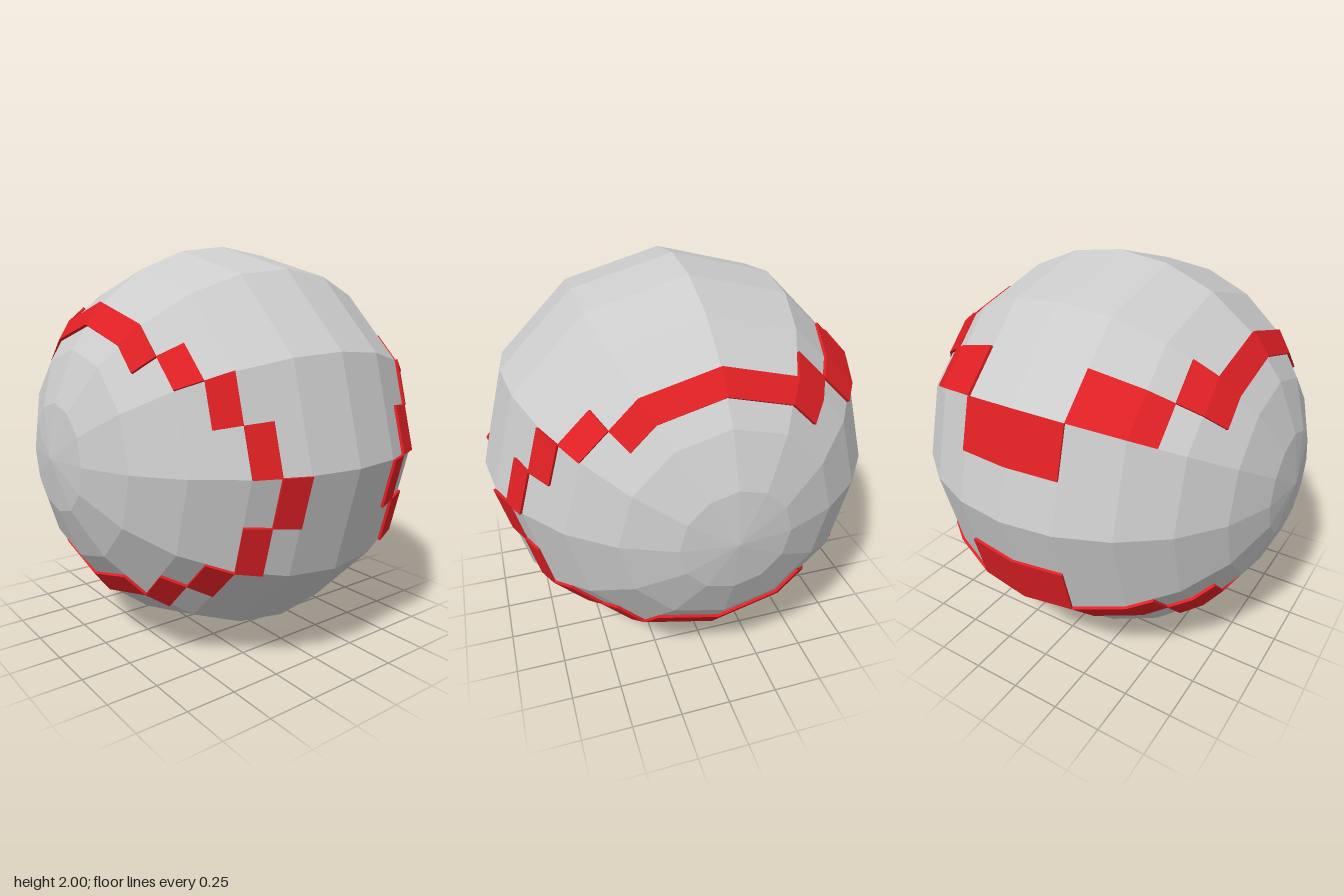
import * as THREE from 'three';

const SEG = 12;        // facets around the x axis, and rings from pole to pole
const LIFT = 1.014;    // how far the seam stands proud of the ball

// Point on the faceted ball: i in half rings from the +x pole, j in half facets up from the front.
function facetPoint(i, j, scale) {
  const corner = (a, b) => {
    const theta = (a * Math.PI) / SEG, phi = (b * 2 * Math.PI) / SEG, r = Math.sin(theta);
    return new THREE.Vector3(Math.cos(theta), r * Math.sin(phi), r * Math.cos(phi));
  };
  const a = Math.floor(i / 2), b = Math.floor(j / 2);
  const u = i / 2 - a, v = j / 2 - b;
  const low = corner(a, b).lerp(corner(a + 1, b), u);
  const high = corner(a, b + 1).lerp(corner(a + 1, b + 1), u);
  return low.lerp(high, v).multiplyScalar(scale);
}

// Seam runs on the left half as [i start, i end, j start, j end]
const RUNS = [
  [9, 10, -1, 0],                                            // front, nearest the middle
  [8, 9, 0, 1], [7, 8, 1, 2], [6, 7, 2, 3],                  // front, stepping up
  [8, 9, -2, -1], [7, 8, -3, -2], [6, 7, -4, -3],            // front, stepping down
  [5, 6, 3, 9], [5, 6, -9, -4],                              // over the top, under the bottom
  [6, 7, 8, 9], [6, 7, -9, -8],
  [7, 10, 9, 10], [7, 10, -10, -9],                          // stepping inward at the back
  [10, 12, 10, 11], [10, 12, -11, -10],                      // across the back
];

function seamGeometry() {
  const cells = new Map();
  const key = (i, j) => `${i},${j}`;
  for (const [i0, i1, j0, j1] of RUNS)
    for (let i = i0; i < i1; i++)
      for (let j = j0; j < j1; j++)
        for (const m of [i, 2 * SEG - 1 - i]) cells.set(key(m, j), [m, j]);

  const pos = [];
  const quad = (a, b, c, d) => [a, b, c, a, c, d].forEach(p => pos.push(p.x, p.y, p.z));
  for (const [i, j] of cells.values()) {
    const ring = [[i + 1, j], [i, j], [i, j + 1], [i + 1, j + 1]];
    const outer = ring.map(([a, b]) => facetPoint(a, b, LIFT));
    const inner = ring.map(([a, b]) => facetPoint(a, b, 0.995));
    quad(...outer);
    // side walls only where the seam ends
    const neighbours = [[i, j - 1], [i - 1, j], [i, j + 1], [i + 1, j]];
    neighbours.forEach(([a, b], k) => {
      const n = (k + 1) % 4;
      if (!cells.has(key(a, b))) quad(inner[k], inner[n], outer[n], outer[k]);
    });
  }
  const geo = new THREE.BufferGeometry();
  geo.setAttribute('position', new THREE.Float32BufferAttribute(pos, 3));
  geo.computeVertexNormals();
  return geo;
}

export function createModel() {
  const model = new THREE.Group();
  model.name = 'ball';

  // Low-poly ball with its poles on the x axis
  const body = new THREE.Mesh(
    new THREE.SphereGeometry(1, SEG, SEG).rotateZ(-Math.PI / 2),
    new THREE.MeshStandardMaterial({ color: 0xcccccc, flatShading: true })
  );
  body.name = 'ballBody';

  // Raised stepped seam
  const seam = new THREE.Mesh(
    seamGeometry(),
    new THREE.MeshStandardMaterial({ color: 0xe02024, flatShading: true })
  );
  seam.name = 'seam';

  model.add(body, seam);
  model.children.forEach(part => { part.position.y = 1; });
  return model;
}
